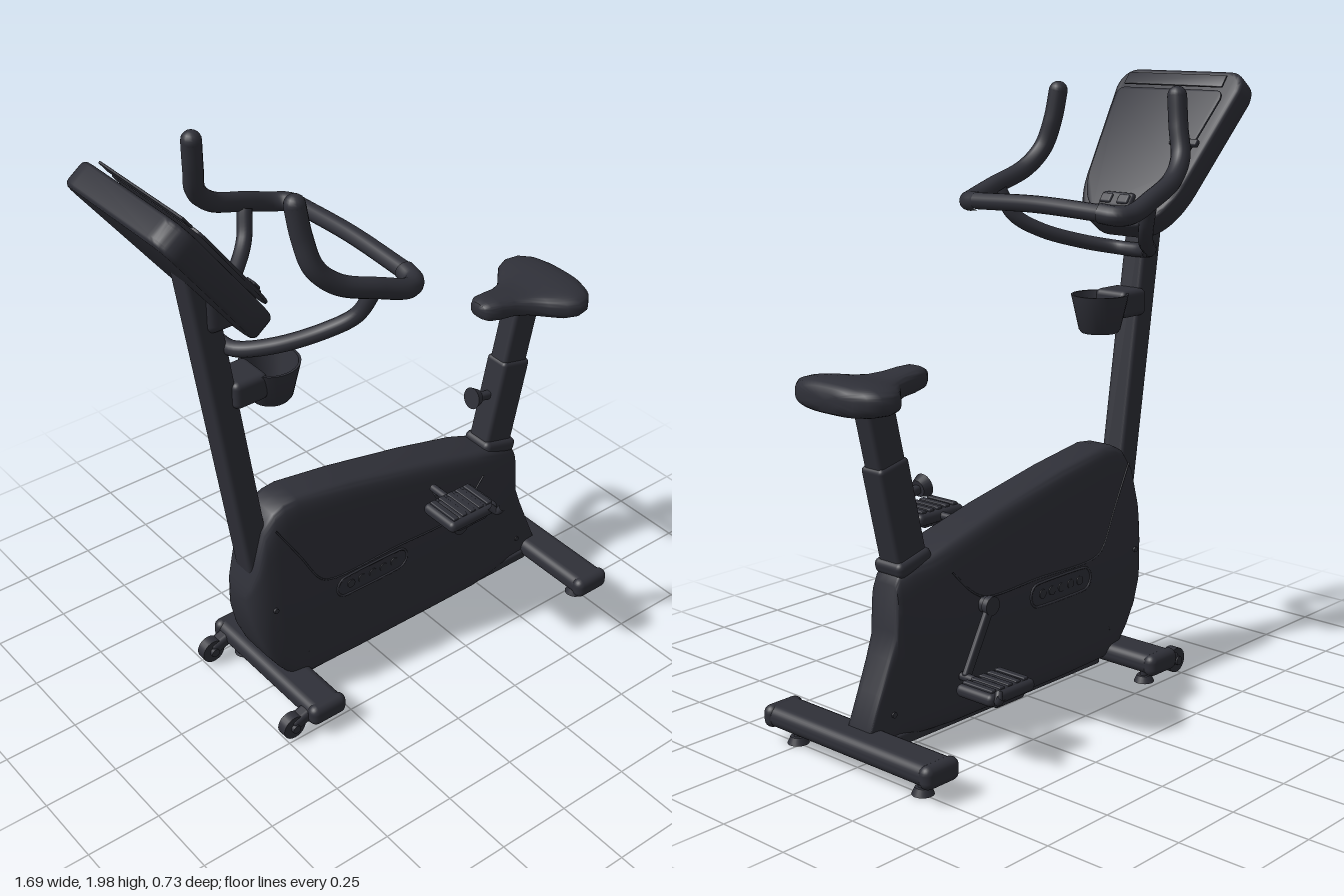
import * as THREE from 'three';
import { toCreasedNormals } from 'three/addons/utils/BufferGeometryUtils.js';
import { RoundedBoxGeometry } from 'three/addons/geometries/RoundedBoxGeometry.js';

const charcoal = new THREE.MeshStandardMaterial({ color: 0x2f3038 });
charcoal.name = 'charcoal';
const V = (x, y, z) => new THREE.Vector3(x, y, z);

// Superellipse sections along x: each station is [x, bottom, top, halfWidth]
function loft(stations, power, taper = () => 1, n = 48) {
  const pos = [], idx = [];
  const se = (v) => Math.sign(v) * Math.abs(v) ** (2 / power);
  for (const [x, y0, y1, w] of stations) {
    for (let j = 0; j < n; j++) {
      const a = (j / n) * Math.PI * 2;
      const y = (y0 + y1) / 2 + ((y1 - y0) / 2) * se(Math.sin(a));
      pos.push(x, y, w * se(Math.cos(a)) * taper(y));
    }
  }
  const last = stations.length - 1;
  for (let i = 0; i < last; i++) {
    for (let j = 0; j < n; j++) {
      const k = (j + 1) % n, a = i * n + j, b = i * n + k;
      idx.push(a, a + n, b, b, a + n, b + n);
    }
  }
  const caps = [stations[0], stations[last]].map(([x, y0, y1]) => {
    pos.push(x, (y0 + y1) / 2, 0);
    return pos.length / 3 - 1;
  });
  for (let j = 0; j < n; j++) {
    const k = (j + 1) % n;
    idx.push(caps[0], j, k, caps[1], last * n + k, last * n + j);
  }
  const g = new THREE.BufferGeometry();
  g.setAttribute('position', new THREE.Float32BufferAttribute(pos, 3));
  g.setIndex(idx);
  return toCreasedNormals(g, 0.7);
}

function tube(points, r, seg = 48) {
  return new THREE.TubeGeometry(new THREE.CatmullRomCurve3(points.map((p) => V(...p))), seg, r, 14);
}

// Rounded slab outline with optional narrowing at the bottom
function slabShape(wTop, wLow, top, low, r) {
  const s = new THREE.Shape();
  s.moveTo(-wTop + r, top);
  s.lineTo(wTop - r, top);
  s.quadraticCurveTo(wTop, top, wTop, top - r);
  s.lineTo(wLow, low + 0.16);
  s.bezierCurveTo(wLow - 0.02, low + 0.04, wLow - 0.08, low, 0.06, low);
  s.lineTo(-0.06, low);
  s.bezierCurveTo(-wLow + 0.08, low, -wLow + 0.02, low + 0.04, -wLow, low + 0.16);
  s.lineTo(-wTop, top - r);
  s.quadraticCurveTo(-wTop, top, -wTop + r, top);
  return s;
}

export function createModel() {
  const model = new THREE.Group();
  const add = (name, geo, x = 0, y = 0, z = 0, parent = model) => {
    const m = new THREE.Mesh(geo, charcoal);
    m.name = name;
    m.position.set(x, y, z);
    parent.add(m);
    return m;
  };
  const box = (name, w, h, d, x, y, z, r = 0.01, parent = model) =>
    add(name, new RoundedBoxGeometry(w, h, d, 3, r), x, y, z, parent);
  // Box running from p to q in the side plane
  const beam = (name, p, q, w, d, z = 0, r = 0.015) => {
    const dx = q[0] - p[0], dy = q[1] - p[1];
    const m = box(name, w, Math.hypot(dx, dy), d, (p[0] + q[0]) / 2, (p[1] + q[1]) / 2, z, r);
    m.rotation.z = -Math.atan2(dx, dy);
    return m;
  };
  const disc = (name, r, h, x, y, z, axis = 'z', r2 = r) => {
    const g = new THREE.CylinderGeometry(r, r2, h, 24);
    if (axis === 'z') g.rotateX(Math.PI / 2);
    return add(name, g, x, y, z);
  };

  // Flywheel housing
  const taper = (y) => (y > 0.44 ? 1 - 0.7 * (y - 0.44) : 1 - 0.15 * Math.max(0, 0.2 - y));
  add('housing', loft([
    [-0.505, 0.42, 0.48, 0.045], [-0.495, 0.36, 0.52, 0.065], [-0.47, 0.27, 0.6, 0.085],
    [-0.44, 0.2, 0.71, 0.095], [-0.4, 0.14, 0.765, 0.102], [-0.36, 0.09, 0.785, 0.104],
    [-0.31, 0.065, 0.79, 0.105], [-0.1, 0.06, 0.755, 0.106], [0.2, 0.06, 0.69, 0.106],
    [0.42, 0.06, 0.633, 0.104], [0.5, 0.06, 0.607, 0.092], [0.56, 0.06, 0.588, 0.076],
    [0.61, 0.06, 0.57, 0.064], [0.625, 0.06, 0.54, 0.06], [0.632, 0.06, 0.4, 0.058],
    [0.66, 0.06, 0.32, 0.055], [0.7, 0.06, 0.22, 0.052], [0.74, 0.06, 0.12, 0.05],
  ], 7, taper));
  for (const s of [1, -1]) {
    const seam = [[-0.41, 0.72], [-0.33, 0.59], [-0.25, 0.46], [-0.2, 0.44], [0.05, 0.44],
      [0.3, 0.44], [0.36, 0.47], [0.44, 0.55]];
    add('housingSeam', tube(seam.map(([x, y]) => [x, y, s * 0.104 * taper(y)]), 0.003));
    // Side grip slot with a raised rim
    const rim = [];
    for (let i = 0; i < 24; i++) {
      const a = (i / 24) * Math.PI * 2;
      rim.push(V(-0.045 + Math.sign(Math.cos(a)) * 0.11 + 0.035 * Math.cos(a), 0.385 + 0.038 * Math.sin(a), s * 0.106));
    }
    add('slotRim', new THREE.TubeGeometry(new THREE.CatmullRomCurve3(rim, true), 72, 0.004, 8, true));
    for (let i = 0; i < 5; i++) disc('slotStud', 0.015, 0.006, -0.135 + i * 0.045, 0.385, s * 0.106);
    for (const [x, y] of [[-0.43, 0.42], [-0.3, 0.18], [0.65, 0.15], [0.6, 0.42]])
      disc('screw', 0.009, 0.008, x, y, s * (x > 0.5 ? 0.056 : 0.1));
  }

  // Mast
  beam('mast', [-0.43, 0.5], [-0.612, 1.71], 0.088, 0.09);
  box('mastCollar', 0.13, 0.14, 0.12, -0.53, 1.55, 0, 0.03);

  // Console, built in a tilted frame whose z is the screen normal
  const console_ = new THREE.Group();
  console_.name = 'console';
  console_.matrix.makeBasis(V(0, 0, -1), V(-0.605, 0.796, 0), V(0.796, 0.605, 0)).setPosition(-0.62, 1.735, 0);
  console_.matrix.decompose(console_.position, console_.quaternion, console_.scale);
  model.add(console_);
  const slab = (shape, depth, bevel) => toCreasedNormals(new THREE.ExtrudeGeometry(shape, {
    depth, bevelEnabled: true, bevelSize: bevel, bevelThickness: bevel, bevelSegments: 4, curveSegments: 12,
  }), 0.6);
  add('consoleShell', slab(slabShape(0.24, 0.19, 0.285, -0.29, 0.06), 0.05, 0.018), 0, 0, -0.043, console_);
  add('screenFrame', slab(slabShape(0.215, 0.175, 0.205, -0.27, 0.03), 0.003, 0.003), 0, 0, 0.043, console_);
  add('topStrip', slab(slabShape(0.2, 0.2, 0.265, 0.225, 0.015).getPoints().length
    ? new THREE.Shape([[-0.2, 0.225], [0.2, 0.225], [0.2, 0.265], [-0.2, 0.265]].map((p) => new THREE.Vector2(...p)))
    : null, 0.002, 0.003), 0, 0, 0.043, console_);
  box('consoleTab', 0.11, 0.025, 0.02, 0.16, 0.0, 0.052, 0.006, console_);
  box('buttonPod', 0.13, 0.06, 0.03, 0, -0.235, 0.05, 0.012, console_);
  for (const x of [-0.035, 0.035]) box('button', 0.045, 0.035, 0.02, x, -0.235, 0.062, 0.007, console_);

  // Handlebars
  for (const s of [1, -1]) {
    add('handleArm', tube([[-0.425, 1.925, s * 0.245], [-0.415, 1.83, s * 0.26], [-0.395, 1.74, s * 0.285],
      [-0.33, 1.675, s * 0.305], [-0.2, 1.625, s * 0.325], [-0.1, 1.59, s * 0.328],
      [-0.06, 1.587, s * 0.305], [-0.048, 1.592, s * 0.25]], 0.031, 64));
    add('gripEnd', new THREE.SphereGeometry(0.031, 16, 12), -0.425, 1.925, s * 0.245);
  }
  add('crossBar', tube([[-0.048, 1.592, -0.26], [-0.045, 1.6, 0], [-0.048, 1.592, 0.26]], 0.027));
  add('handleSupport', tube([[-0.21, 1.61, 0.31], [-0.24, 1.53, 0.275], [-0.31, 1.478, 0.22], [-0.43, 1.435, 0.14],
    [-0.51, 1.415, 0.06], [-0.52, 1.412, 0], [-0.51, 1.415, -0.06], [-0.43, 1.435, -0.14], [-0.31, 1.478, -0.22],
    [-0.24, 1.53, -0.275], [-0.21, 1.61, -0.31]], 0.024, 80));

  // Bottle holder
  const cup = new THREE.LatheGeometry([[0.001, 0], [0.06, 0], [0.068, 0.01], [0.094, 0.125], [0.086, 0.125],
    [0.06, 0.014], [0.001, 0.014]].map((p) => new THREE.Vector2(...p)), 32);
  add('bottleCup', toCreasedNormals(cup, 0.6), -0.353, 1.158, 0);
  box('cupBracket', 0.12, 0.09, 0.13, -0.46, 1.245, 0, 0.02);

  // Base rail and legs
  box('baseRail', 1.0, 0.04, 0.12, 0.2, 0.062, 0);
  box('basePlate', 0.14, 0.02, 0.08, 0.39, 0.043, 0, 0.005);
  for (const [name, x, half] of [['frontLeg', -0.36, 0.29], ['rearLeg', 0.745, 0.36]]) {
    box(name, 0.13, 0.068, half * 2, x, 0.083, 0, 0.03);
    for (const s of [1, -1]) {
      box(name + 'Cap', 0.138, 0.072, 0.05, x, 0.083, s * (half - 0.025), 0.025);
      disc(name + 'Stem', 0.014, 0.04, x, 0.04, s * (half - 0.09), 'y');
      disc(name + 'Pad', 0.024, 0.022, x, 0.011, s * (half - 0.09), 'y', 0.034);
    }
  }
  for (const s of [1, -1]) {
    beam('wheelFork', [-0.48, 0.055], [-0.38, 0.085], 0.045, 0.05, s * 0.23);
    disc('transportWheel', 0.042, 0.035, -0.475, 0.052, s * 0.23);
    disc('wheelHub', 0.015, 0.06, -0.475, 0.052, s * 0.23);
  }

  // Cranks and pedals, half a turn apart
  disc('axle', 0.026, 0.27, 0.31, 0.42, 0);
  for (const s of [1, -1]) {
    const ex = 0.31 - s * 0.108, ey = 0.42 + s * 0.2;
    beam('crank', [0.31, 0.42], [ex, ey], 0.032, 0.02, s * 0.128, 0.008);
    disc('crankHub', 0.03, 0.02, 0.31, 0.42, s * 0.13);
    disc('pedalSpindle', 0.013, 0.18, ex, ey, s * 0.2);
    box('pedalBody', 0.2, 0.04, 0.15, ex, ey, s * 0.25, 0.018);
    box('pedalCage', 0.13, 0.06, 0.12, ex, ey - 0.005, s * 0.255, 0.015);
    for (let i = 0; i < 5; i++) box('pedalTread', 0.022, 0.012, 0.12, ex - 0.07 + i * 0.035, ey + 0.022, s * 0.25, 0.004);
    const strap = [[0.06, 0.02, 0.32], [0.08, 0.0, 0.335], [0.085, 0.025, 0.355]];
    add('pedalStrap', tube(strap.map(([x, y, z]) => [ex + x, ey + y, s * z]), 0.012, 12));
  }

  // Seat post and height knob
  beam('postSleeve', [0.535, 0.54], [0.62, 0.91], 0.118, 0.092);
  beam('seatPost', [0.6, 0.83], [0.665, 1.11], 0.105, 0.076);
  box('sleeveBase', 0.14, 0.05, 0.12, 0.55, 0.595, 0, 0.02).rotation.z = -0.25;
  beam('knobStem', [0.48, 0.8], [0.56, 0.785], 0.028, 0.028, 0, 0.01);
  const knob = disc('knob', 0.037, 0.028, 0.472, 0.803, 0, 'y', 0.026);
  knob.rotation.z = Math.PI / 2 - 0.2;

  // Saddle
  add('saddle', loft([
    [0.466, 1.135, 1.155, 0.015], [0.472, 1.118, 1.168, 0.036], [0.49, 1.108, 1.176, 0.05], [0.53, 1.1, 1.175, 0.056],
    [0.58, 1.096, 1.17, 0.062], [0.63, 1.09, 1.166, 0.085], [0.67, 1.085, 1.168, 0.128], [0.71, 1.08, 1.174, 0.17],
    [0.75, 1.079, 1.178, 0.188], [0.79, 1.08, 1.179, 0.18], [0.82, 1.084, 1.174, 0.152], [0.838, 1.092, 1.165, 0.11],
    [0.846, 1.11, 1.15, 0.06],
  ], 3));
  return model;
}
